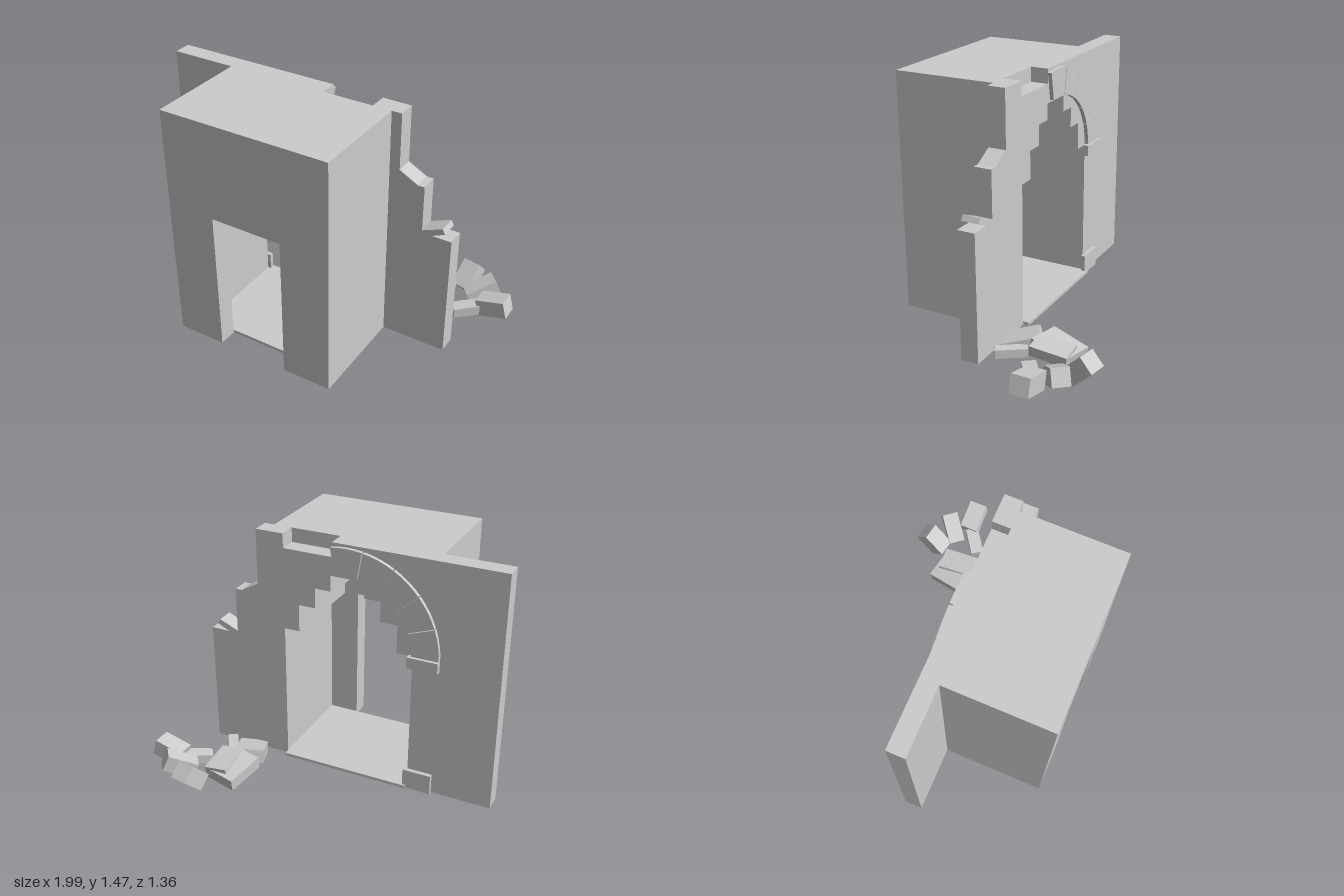
import * as THREE from 'three';

const stone = new THREE.MeshStandardMaterial({ color: 0xcccccc });
stone.name = 'pale stone';

const BASE = 0.055, TOP = 1.48, CX = -0.103;

export function createModel() {
  const root = new THREE.Group();
  root.name = 'ruinedGatehouse';

  const add = (name, geometry, parent = root) => {
    const mesh = new THREE.Mesh(geometry, stone);
    mesh.name = name;
    parent.add(mesh);
    return mesh;
  };
  // Prism of an x,y outline between two depths
  const slab = (name, points, z0, z1, parent) => {
    const shape = new THREE.Shape(points.map(([x, y]) => new THREE.Vector2(x, y)));
    const geo = new THREE.ExtrudeGeometry(shape, { depth: z1 - z0, bevelEnabled: false });
    geo.translate(0, 0, z0);
    return add(name, geo, parent);
  };
  // Box given by its limits
  const block = (name, x0, x1, y0, y1, z0, z1) => {
    const mesh = add(name, new THREE.BoxGeometry(x1 - x0, y1 - y0, z1 - z0));
    mesh.position.set((x0 + x1) / 2, (y0 + y1) / 2, (z0 + z1) / 2);
    return mesh;
  };

  // Stepped vault outline, from its left foot over the top to its right foot
  const half = [[0.393, BASE], [0.393, 0.905], [0.3, 0.905], [0.3, 1.07],
    [0.198, 1.07], [0.198, 1.19], [0.1, 1.19], [0.1, 1.285]];
  const vault = [
    ...half.map(([x, y]) => [CX - x, y]),
    ...half.map(([x, y]) => [CX + x, y]).reverse(),
  ];

  // Rear wall with a crumbling edge and a notch in its top
  slab('rearWall', [
    [-1, BASE], ...vault, [0.785, BASE],
    [0.785, 0.805], [0.67, 0.805], [0.745, 0.84], [0.73, 0.87], [0.61, 0.82],
    [0.61, 1.09], [0.57, 1.09], [0.46, 1.15], [0.46, TOP],
    [0.29, TOP], [0.29, 1.395], [-0.01, 1.395], [-0.01, TOP], [-1, TOP],
  ], -0.035, 0.07);

  // Vaulted chamber
  slab('chamber', [[-0.61, BASE], ...vault, [0.4, BASE], [0.4, TOP], [-0.61, TOP]], 0.07, 0.57);

  // Front wall with a square doorway
  slab('frontWall', [
    [-0.61, BASE], [-0.32, BASE], [-0.32, 0.912], [0.108, 0.912], [0.108, BASE],
    [0.4, BASE], [0.4, TOP], [-0.61, TOP],
  ], 0.57, 0.68);

  block('floor', CX - 0.393, CX + 0.393, BASE, 0.073, -0.07, 0.57);

  // Surviving half of the arch trim, in five stones
  const arch = new THREE.Group();
  arch.name = 'archTrim';
  root.add(arch);
  for (let i = 0; i < 5; i++) {
    const points = [];
    const put = (r, deg) => {
      const a = THREE.MathUtils.degToRad(deg);
      points.push([CX + r * Math.cos(a), 0.912 + r * Math.sin(a)]);
    };
    const start = 80 + 20 * i + 0.3, span = 19.4;
    for (let k = 0; k <= 4; k++) put(0.553, start + span * k / 4);
    for (let k = 4; k >= 0; k--) put(0.393, start + span * k / 4);
    slab('archStone', points, -0.058, -0.035, arch);
  }
  block('impost', -0.655, -0.475, 0.845, 0.91, -0.07, -0.035);
  block('trimBase', -0.645, -0.475, BASE, 0.175, -0.06, -0.035);

  // Fallen stones: centre, size, rotation
  const rubble = new THREE.Group();
  rubble.name = 'rubble';
  root.add(rubble);
  [
    [[0.485, 0.085, -0.36], [0.2, 0.075, 0.24], [-0.18, -0.22, 0.06]],
    [[0.545, 0.105, -0.355], [0.14, 0.06, 0.22], [-0.1, 0.04, -0.1]],
    [[0.485, 0.075, -0.14], [0.17, 0.08, 0.2], [0.25, 0.38, 0.05]],
    [[0.615, 0.075, -0.14], [0.06, 0.05, 0.18], [0, 0.58, 0]],
    [[0.645, 0.11, -0.575], [0.11, 0.106, 0.17], [0.77, -0.18, 0]],
    [[0.77, 0.11, -0.495], [0.19, 0.1, 0.1], [0, 0.68, 0.45]],
    [[0.895, 0.113, -0.393], [0.178, 0.105, 0.112], [0, 0, 0.26]],
    [[0.75, 0.07, -0.33], [0.17, 0.06, 0.08], [0, 0.62, 0.12]],
  ].forEach(([p, s, r]) => {
    const stoneBlock = add('fallenStone', new THREE.BoxGeometry(...s), rubble);
    stoneBlock.position.set(...p);
    stoneBlock.rotation.set(r[0], r[1], r[2], 'YXZ');
  });

  return root;
}
